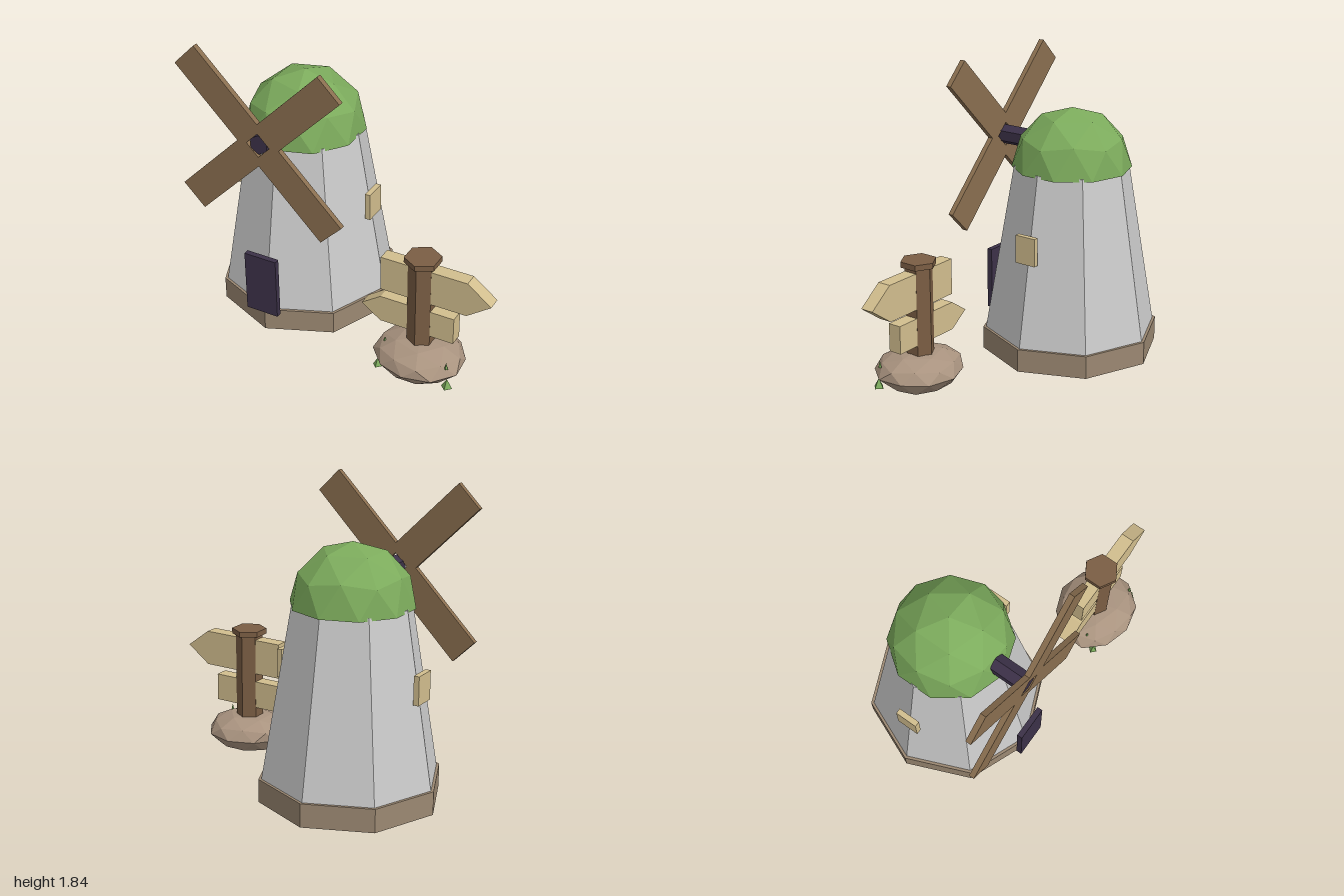
import * as THREE from 'three';

const mat = (color) => new THREE.MeshStandardMaterial({ color, flatShading: true });
const stone = mat(0xcccccc), base = mat(0x9b8872), rockMat = mat(0xa9937f), leaf = mat(0x7cab5c);
const dark = mat(0x3c3148), sailWood = mat(0x8a6f50), postWood = mat(0x7b5e44), tan = mat(0xd2be8e);

function add(parent, name, geometry, material, x = 0, y = 0, z = 0) {
  const mesh = new THREE.Mesh(geometry, material);
  mesh.name = name;
  mesh.position.set(x, y, z);
  parent.add(mesh);
  return mesh;
}

// Faceted ball with one corner pointing straight up, reshaped vertex by vertex
function facetedBall(rule) {
  const geo = new THREE.IcosahedronGeometry(1, 1);
  geo.rotateZ(Math.atan(2 / (1 + Math.sqrt(5)))).rotateY(Math.PI);
  const pos = geo.attributes.position, v = new THREE.Vector3();
  for (let i = 0; i < pos.count; i++) {
    rule(v.fromBufferAttribute(pos, i));
    pos.setXYZ(i, v.x, v.y, v.z);
  }
  geo.computeVertexNormals();
  return geo;
}

function slab(points, depth, hole) {
  const shape = new THREE.Shape(points.map(([x, y]) => new THREE.Vector2(x, y)));
  if (hole) shape.holes.push(new THREE.Path(hole.map(([x, y]) => new THREE.Vector2(x, y))));
  return new THREE.ExtrudeGeometry(shape, { depth, bevelEnabled: false });
}

function createMill() {
  const mill = new THREE.Group();
  mill.name = 'windmill';
  mill.position.set(-0.445, 0, -0.055);

  // Eight-sided foundation and tapering tower
  add(mill, 'foundation', new THREE.CylinderGeometry(0.555, 0.555, 0.145, 8), base, 0, 0.0725, 0);
  add(mill, 'tower', new THREE.CylinderGeometry(0.358, 0.539, 1.06, 8), stone, 0, 0.665, 0);

  // Half-ball roof, flat underneath
  const dome = facetedBall((v) => { v.y = Math.max(v.y, 0); v.multiplyScalar(0.37); });
  add(mill, 'domeRoof', dome, leaf, 0, 1.178, 0);

  // Door and side windows
  add(mill, 'door', new THREE.BoxGeometry(0.215, 0.4, 0.035), dark, 0, 0.345, 0.563);
  for (const side of [-1, 1]) {
    add(mill, side > 0 ? 'leftWindow' : 'rightWindow',
      new THREE.BoxGeometry(0.034, 0.175, 0.14), tan, side * 0.458, 0.757, 0.005);
  }

  // Six-sided hub and crossed sails with a square opening
  const hub = new THREE.CylinderGeometry(0.062, 0.062, 0.225, 6).rotateX(Math.PI / 2);
  add(mill, 'hub', hub, dark, 0, 1.3, 0.4225);
  const w = 0.097, L = 0.663, h = 0.054;
  const cross = [];
  for (let i = 0; i < 4; i++) {
    const c = Math.round(Math.cos(i * Math.PI / 2)), s = Math.round(Math.sin(i * Math.PI / 2));
    for (const [x, y] of [[L, -w], [L, w], [w, w]]) cross.push([x * c - y * s, x * s + y * c]);
  }
  const sails = add(mill, 'sails', slab(cross, 0.034, [[-h, -h], [-h, h], [h, h], [h, -h]]), sailWood, 0, 1.3, 0.508);
  sails.rotation.z = Math.PI / 4;
  return mill;
}

function createSignpost() {
  const sign = new THREE.Group();
  sign.name = 'signpost';
  sign.position.set(0.545, 0, 0.343);

  // Squat, slightly uneven boulder with a flat foot
  const rock = facetedBall((v) => {
    const wobble = 1 + 0.03 * Math.sin(7 * v.x + 4 * v.z + 5 * v.y);
    const low = v.y < -0.4;
    const spread = (low ? 0.87 : 1) * wobble;
    const y = v.y > 0 ? 0.075 + 0.128 * v.y : Math.max(0, 0.075 + 0.18 * v.y);
    v.set(v.x * 0.283 * spread, Math.min(y, 0.197), v.z * 0.257 * spread);
  });
  add(sign, 'boulder', rock, rockMat, 0, 0, 0.007);

  // Six-sided post and cap
  add(sign, 'post', new THREE.CylinderGeometry(0.086, 0.086, 0.74, 6), postWood, 0, 0.371, 0);
  add(sign, 'postCap', new THREE.CylinderGeometry(0.11, 0.11, 0.035, 6), postWood, 0, 0.7525, 0);

  // Arrow boards pointing opposite ways
  const upper = [[-0.25, 0.485], [0.3, 0.485], [0.45, 0.595], [0.3, 0.71], [-0.25, 0.71]];
  const lower = [[0.225, 0.255], [0.225, 0.43], [-0.25, 0.43], [-0.375, 0.343], [-0.25, 0.255]];
  add(sign, 'upperBoard', slab(upper, 0.085), tan, 0, 0, -0.0425);
  add(sign, 'lowerBoard', slab(lower, 0.085), tan, 0, 0, -0.0425);

  // Small plants around the boulder
  const tufts = [[0.235, 0.03, 0.13, 0.035, 0.06], [-0.215, 0.025, 0.14, 0.03, 0.05],
    [0.225, 0.15, 0.125, 0.012, 0.045], [-0.2, 0.155, 0.075, 0.012, 0.035]];
  for (const [x, y, z, r, height] of tufts) {
    add(sign, 'tuft', new THREE.ConeGeometry(r, height, 4), leaf, x, y, z);
  }
  return sign;
}

export function createModel() {
  const model = new THREE.Group();
  model.name = 'windmillScene';
  model.add(createMill(), createSignpost());
  return model;
}
